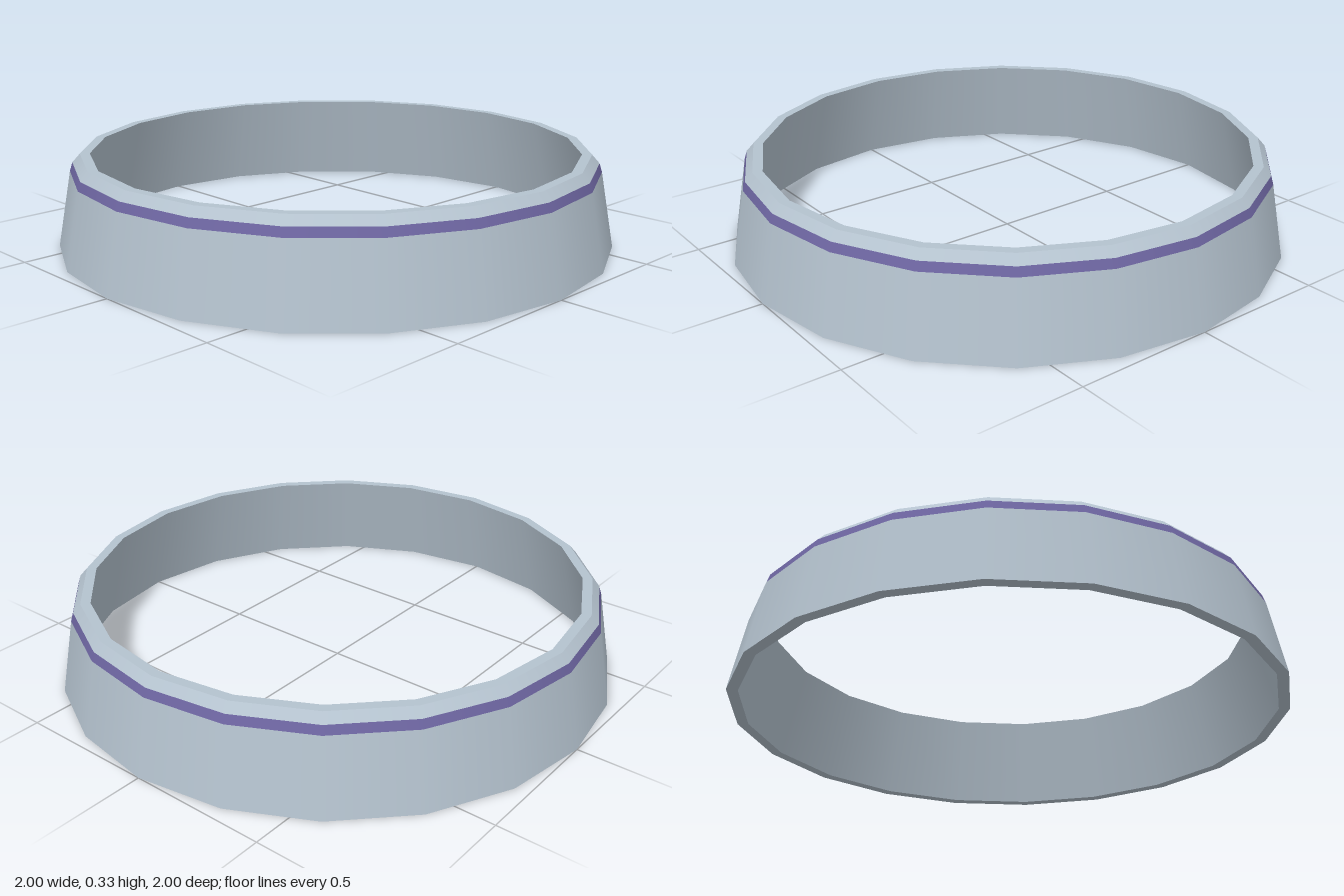
import * as THREE from 'three';

const SIDES = 20;

export function createModel() {
  const model = new THREE.Group();
  model.name = 'collarRing';

  const shell = new THREE.MeshStandardMaterial({ color: 0xb4c2ce });
  shell.name = 'pale blue grey';
  const accent = new THREE.MeshStandardMaterial({ color: 0x6e66a2 });
  accent.name = 'muted purple';

  // Closed cross-section as [radius, height], outside going up, then inside going down
  const bands = [
    ['outerWall', [1, 0], [0.949, 0.272], shell],
    ['stripe', [0.949, 0.272], [0.939, 0.303], accent],
    ['bevel', [0.939, 0.303], [0.912, 0.333], shell],
    ['topRim', [0.912, 0.333], [0.877, 0.333], shell],
    ['innerWall', [0.877, 0.333], [0.96, 0], shell],
    ['bottomRim', [0.96, 0], [1, 0], shell],
  ];

  // One lathe per band keeps the edges between bands sharp and the ring smooth
  for (const [name, from, to, material] of bands) {
    const points = [new THREE.Vector2(...from), new THREE.Vector2(...to)];
    const mesh = new THREE.Mesh(new THREE.LatheGeometry(points, SIDES), material);
    mesh.name = name;
    model.add(mesh);
  }
  return model;
}
